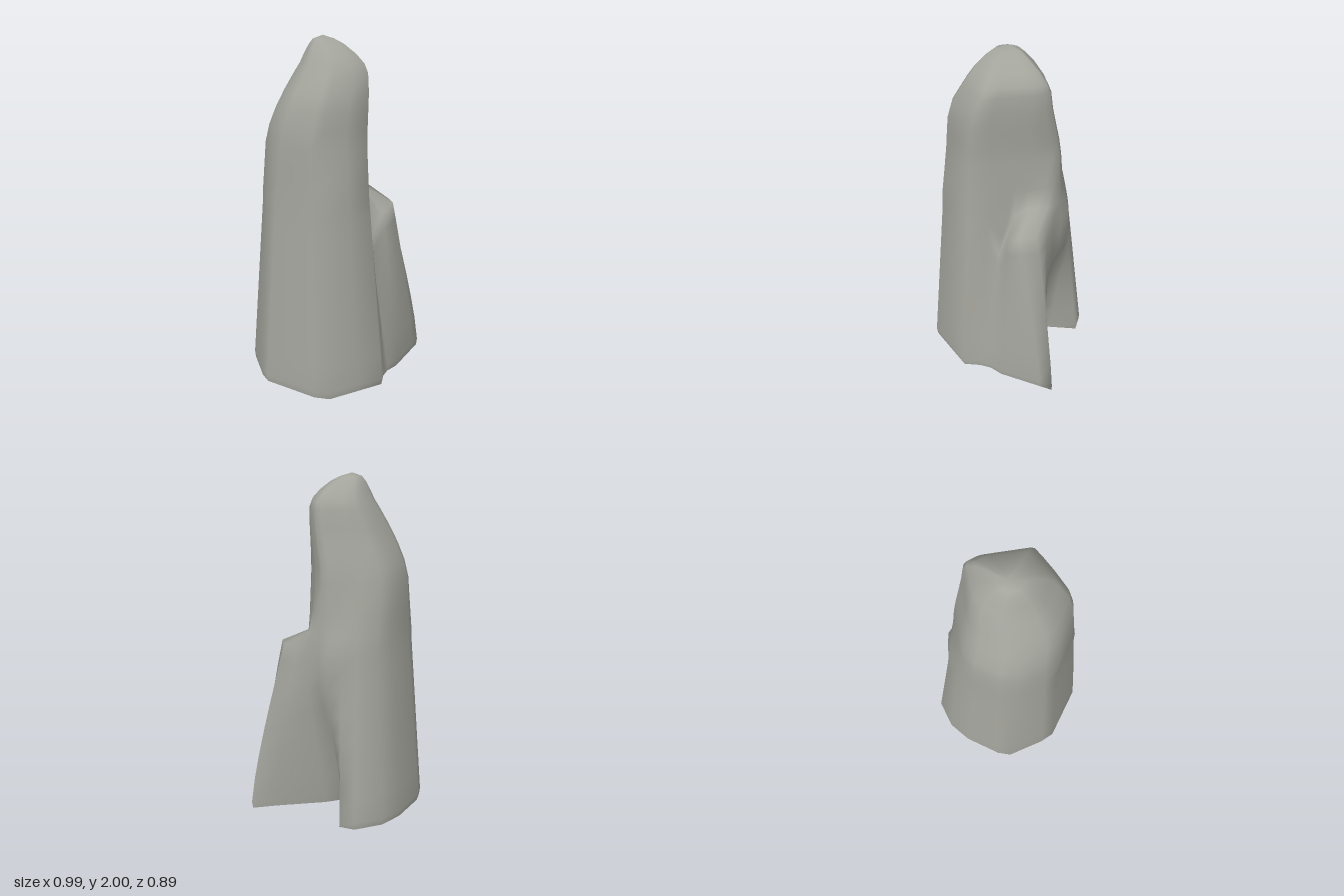
import * as THREE from 'three';

// Outlines as x, z pairs, running from the left front corner round the front, fin, groove and back.
const base = [-.42, .32, -.25, .385, -.09, .445, 0, .395, .07, .375, .155, .38, .41, .327, .49, .31, .38, .22,
  .15, .01, .03, -.07, .17, -.16, .33, -.25, .30, -.34, .15, -.43, 0, -.45, -.24, -.42, -.32, -.385,
  -.46, -.18, -.495, -.1, -.46, .24];
const ledge = [-.36, .245, -.22, .30, -.09, .345, 0, .27, .05, .24, .13, .27, .22, .28, .285, .2, .29, .1,
  .285, .02, .285, -.06, .295, -.13, .25, -.2, .2, -.27, .1, -.34, -.02, -.365, -.2, -.35, -.29, -.31,
  -.4, -.16, -.42, -.08, -.39, .17];
const column = [-.36, .24, -.22, .295, -.09, .335, 0, .255, .05, .205, .10, .155, .16, .10, .2, .07, .25, .04,
  .27, 0, .275, -.06, .27, -.12, .235, -.18, .19, -.255, .09, -.335, -.02, -.36, -.2, -.345, -.29, -.305,
  -.395, -.16, -.415, -.08, -.385, .17];
const upper = [-.34, .2, -.21, .265, -.09, .315, -.01, .235, .05, .175, .095, .13, .15, .075, .18, .045, .205, .01,
  .225, -.03, .245, -.07, .23, -.11, .17, -.17, .12, -.24, .04, -.32, -.05, -.345, -.2, -.33, -.28, -.28,
  -.37, -.15, -.4, -.05, -.37, .15];

// Crown levels: height, then left, right, back and front limits.
const crown = [
  [1.4, -.405, .255, -.345, .315], [1.5, -.39, .247, -.32, .312], [1.6, -.37, .24, -.275, .31],
  [1.7, -.33, .232, -.23, .30], [1.8, -.265, .225, -.19, .27], [1.85, -.235, .205, -.16, .24],
  [1.9, -.205, .155, -.135, .19], [1.95, -.165, .08, -.105, .12], [1.98, -.13, .02, -.08, .05],
];
const N = base.length / 2;
const lerp = THREE.MathUtils.lerp;

function createRings() {
  const rings = [];
  const add = (fn) => rings.push(Array.from({ length: N }, (_, i) => fn(i)));
  const point = (o, i, y, s = 1) => [o[2 * i] * s, y, o[2 * i + 1] * s];
  const dip = (i) => (i === 4 ? .2 : i === 5 ? .05 : 0);

  // Foot: slightly bevelled, with the side groove closing before the ledge.
  add((i) => point(base, i, 0, .99));
  for (const y of [.04, .2, .35, .5, .65, .8, .92]) {
    add((i) => {
      const groove = i >= 9 && i <= 12;
      const fin = i >= 5 && i <= 8;
      const t = groove ? Math.min(1, y / .8) : Math.pow((y - .04) / .98, fin ? 1.25 : 1);
      return [lerp(base[2 * i], ledge[2 * i], t), y - dip(i) * y,
        lerp(base[2 * i + 1], ledge[2 * i + 1], t)];
    });
  }
  // Ledge on top of the fin, then the shaft above it.
  add((i) => point(ledge, i, 1.02 - dip(i)));
  add((i) => point(column, i, 1.11 - dip(i)));
  add((i) => [lerp(column[2 * i], upper[2 * i], .4), 1.23, lerp(column[2 * i + 1], upper[2 * i + 1], .4)]);
  // Crown: fit the upper outline into the limits of each level.
  for (const [y, x0, x1, z0, z1] of crown) {
    add((i) => [THREE.MathUtils.mapLinear(upper[2 * i], -.4, .245, x0, x1), y,
      THREE.MathUtils.mapLinear(upper[2 * i + 1], -.345, .315, z0, z1)]);
  }
  return rings;
}

// Skin the rings and close the top on one summit point.
function loft(rings, summit) {
  const index = [];
  rings.forEach((_, r) => {
    for (let i = 0; i < N; i++) {
      const j = (i + 1) % N;
      const a = r * N + i, b = r * N + j;
      if (r === rings.length - 1) index.push(a, b, rings.length * N);
      else index.push(a, b, b + N, a, b + N, a + N);
    }
  });
  const geometry = new THREE.BufferGeometry();
  const positions = [...rings.flat(2), ...summit];
  geometry.setAttribute('position', new THREE.Float32BufferAttribute(positions, 3));
  geometry.setIndex(index);
  geometry.computeVertexNormals();
  return geometry;
}

export function createModel() {
  const group = new THREE.Group();
  group.name = 'rockPillar';
  const stone = new THREE.MeshStandardMaterial({ color: 0xa3a49c });
  stone.name = 'grey stone';

  const rings = createRings();
  const pillar = new THREE.Mesh(loft(rings, [-.06, 2, -.03]), stone);
  pillar.name = 'pillar';

  // Flat underside
  const outline = new THREE.Shape(rings[0].map(([x, , z]) => new THREE.Vector2(x, z)));
  const underside = new THREE.Mesh(new THREE.ShapeGeometry(outline).rotateX(Math.PI / 2), stone);
  underside.name = 'underside';

  group.add(pillar, underside);
  return group;
}
